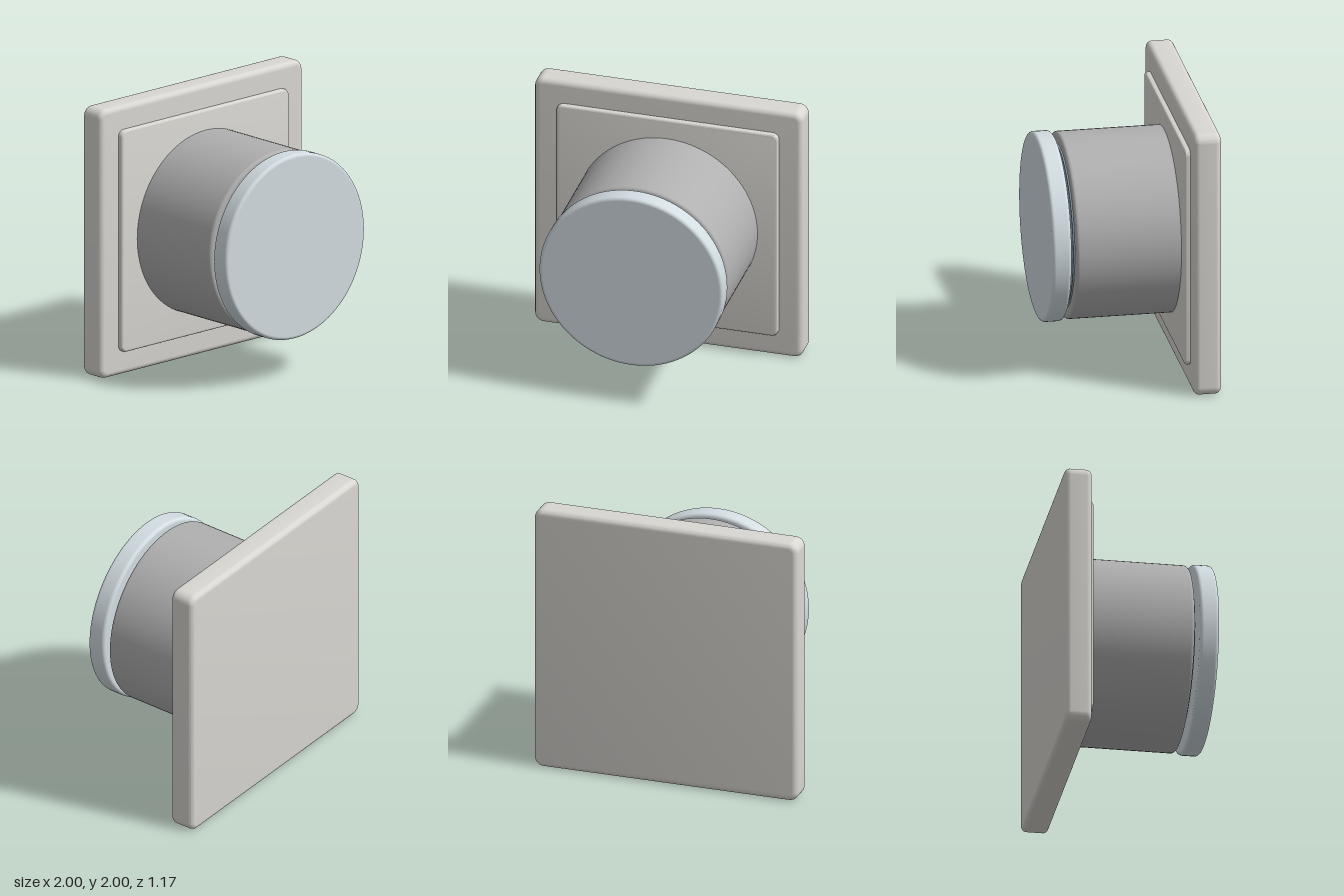
import * as THREE from 'three';
import { toCreasedNormals } from 'three/addons/utils/BufferGeometryUtils.js';

const material = (color) => new THREE.MeshStandardMaterial({ color });

// Rounded square slab between two depths, with softened edges
function slab(half, corner, z0, z1, bevel) {
  const h = half - bevel;
  const r = corner - bevel;
  const s = new THREE.Shape();
  s.moveTo(h, -h + r);
  [[1, 1], [-1, 1], [-1, -1], [1, -1]].forEach(([x, y], i) => {
    const a = (i * Math.PI) / 2;
    s.absarc(x * (h - r), y * (h - r), r, a, a + Math.PI / 2, false);
  });
  s.closePath();
  const geometry = new THREE.ExtrudeGeometry(s, {
    depth: z1 - z0 - 2 * bevel,
    bevelSize: bevel,
    bevelThickness: bevel,
    bevelSegments: 8,
    curveSegments: 8,
  });
  geometry.translate(0, 0, z0 + bevel);
  return toCreasedNormals(geometry, 0.5);
}

// Round disc along z with softened rims; guard points keep the flats flat
function puck(radius, z0, z1, bevel, segments = 96) {
  const e = bevel * 0.02;
  const points = [new THREE.Vector2(0, z0), new THREE.Vector2(radius - bevel - e, z0)];
  const steps = 8;
  for (const [zc, start] of [[z0 + bevel, -Math.PI / 2], [z1 - bevel, 0]]) {
    if (start === 0) points.push(new THREE.Vector2(radius, zc - e));
    for (let i = 0; i <= steps; i++) {
      const a = start + (i / steps) * (Math.PI / 2);
      points.push(new THREE.Vector2(radius - bevel + bevel * Math.cos(a), zc + bevel * Math.sin(a)));
    }
    if (start !== 0) points.push(new THREE.Vector2(radius, zc + e));
  }
  points.push(new THREE.Vector2(radius - bevel - e, z1), new THREE.Vector2(0, z1));
  return new THREE.LatheGeometry(points, segments).rotateX(Math.PI / 2);
}

export function createModel() {
  const model = new THREE.Group();
  model.name = 'wallKnob';

  const plateMat = material(0xd9d7d2);
  const bodyMat = material(0xb0b0b0);
  const capMat = material(0xd3dde2);
  const rimMat = material(0x8fa3b0);
  const blueMat = material(0x4a86b0);
  const darkMat = material(0x222222);

  const add = (name, geometry, mat, x = 0, y = 1) => {
    const mesh = new THREE.Mesh(geometry, mat);
    mesh.name = name;
    mesh.position.set(x, y, 0);
    model.add(mesh);
  };

  // Wall plate with raised panel
  add('wallPlate', slab(1, 0.07, -0.585, -0.39, 0.04), plateMat);
  add('raisedPanel', slab(0.825, 0.05, -0.43, -0.352, 0.016), plateMat);

  // Cylindrical housing
  add('housing', puck(0.675, -0.38, 0.41, 0.025), bodyMat);

  // Stepped discs in the gap behind the cap
  add('backingDisc', puck(0.6, 0.4, 0.422, 0.002), rimMat);
  add('displayDisc', puck(0.5, 0.415, 0.434, 0.002), blueMat);

  // Small round marks on the display
  for (const side of [-1, 1]) {
    add(side > 0 ? 'leftMark' : 'rightMark', puck(0.06, 0.43, 0.442, 0.001, 32), darkMat, side * 0.235);
  }
  add('upperMark', puck(0.036, 0.43, 0.442, 0.001, 32), bodyMat, 0, 1.325);

  // Front cap
  add('frontCap', puck(0.685, 0.445, 0.585, 0.025), capMat);

  return model;
}
